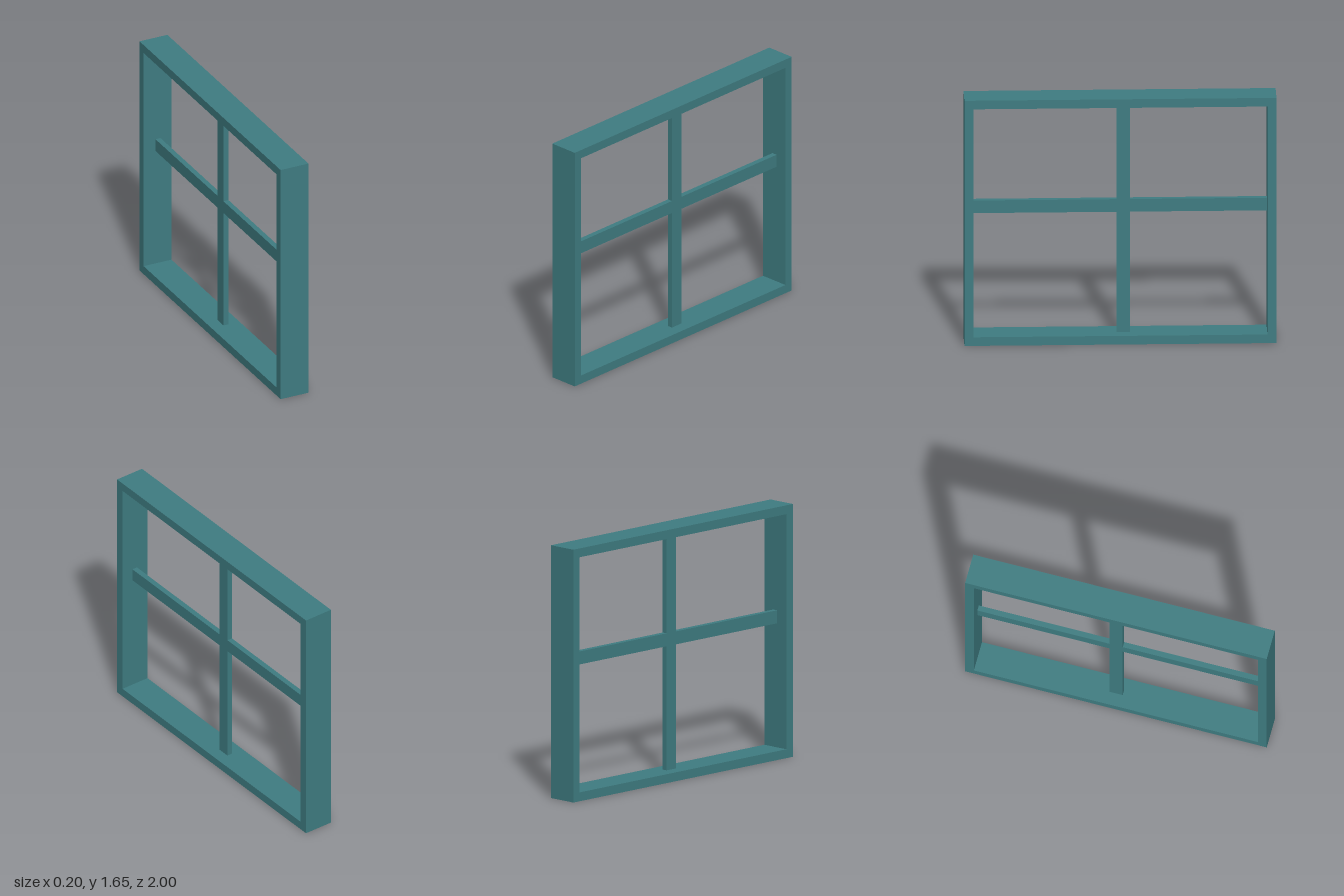
import * as THREE from 'three';

const HEIGHT = 1.655, DEPTH = 0.2, RAIL = 0.058;
const BAR = { z0: -0.064, z1: 0.022, y0: 0.87, y1: 0.955, x0: -0.015, x1: 0.021 };

export function createModel() {
  const model = new THREE.Group();
  model.name = 'window';
  const material = new THREE.MeshStandardMaterial({ color: 0x3f7d82 });

  // Outer frame: a rectangle with one opening, extruded through the wall
  const rect = (path, x0, y0, x1, y1) =>
    path.moveTo(x0, y0).lineTo(x1, y0).lineTo(x1, y1).lineTo(x0, y1).closePath();
  const outline = rect(new THREE.Shape(), -1, 0, 1, HEIGHT);
  outline.holes.push(rect(new THREE.Path(), -1 + RAIL, RAIL, 1 - RAIL, HEIGHT - RAIL));
  const frameGeometry = new THREE.ExtrudeGeometry(outline, { depth: DEPTH, bevelEnabled: false });
  frameGeometry.translate(0, 0, -DEPTH / 2).rotateY(-Math.PI / 2);
  const frame = new THREE.Mesh(frameGeometry, material);
  frame.name = 'frame';
  model.add(frame);

  // Thin glazing bars forming a cross inside the opening
  const addBar = (name, y0, y1, z0, z1) => {
    const bar = new THREE.Mesh(new THREE.BoxGeometry(BAR.x1 - BAR.x0, y1 - y0, z1 - z0), material);
    bar.position.set((BAR.x0 + BAR.x1) / 2, (y0 + y1) / 2, (z0 + z1) / 2);
    bar.name = name;
    model.add(bar);
  };
  addBar('horizontalBar', BAR.y0, BAR.y1, -1 + RAIL, 1 - RAIL);
  addBar('lowerVerticalBar', RAIL, BAR.y0, BAR.z0, BAR.z1);
  addBar('upperVerticalBar', BAR.y1, HEIGHT - RAIL, BAR.z0, BAR.z1);

  return model;
}
